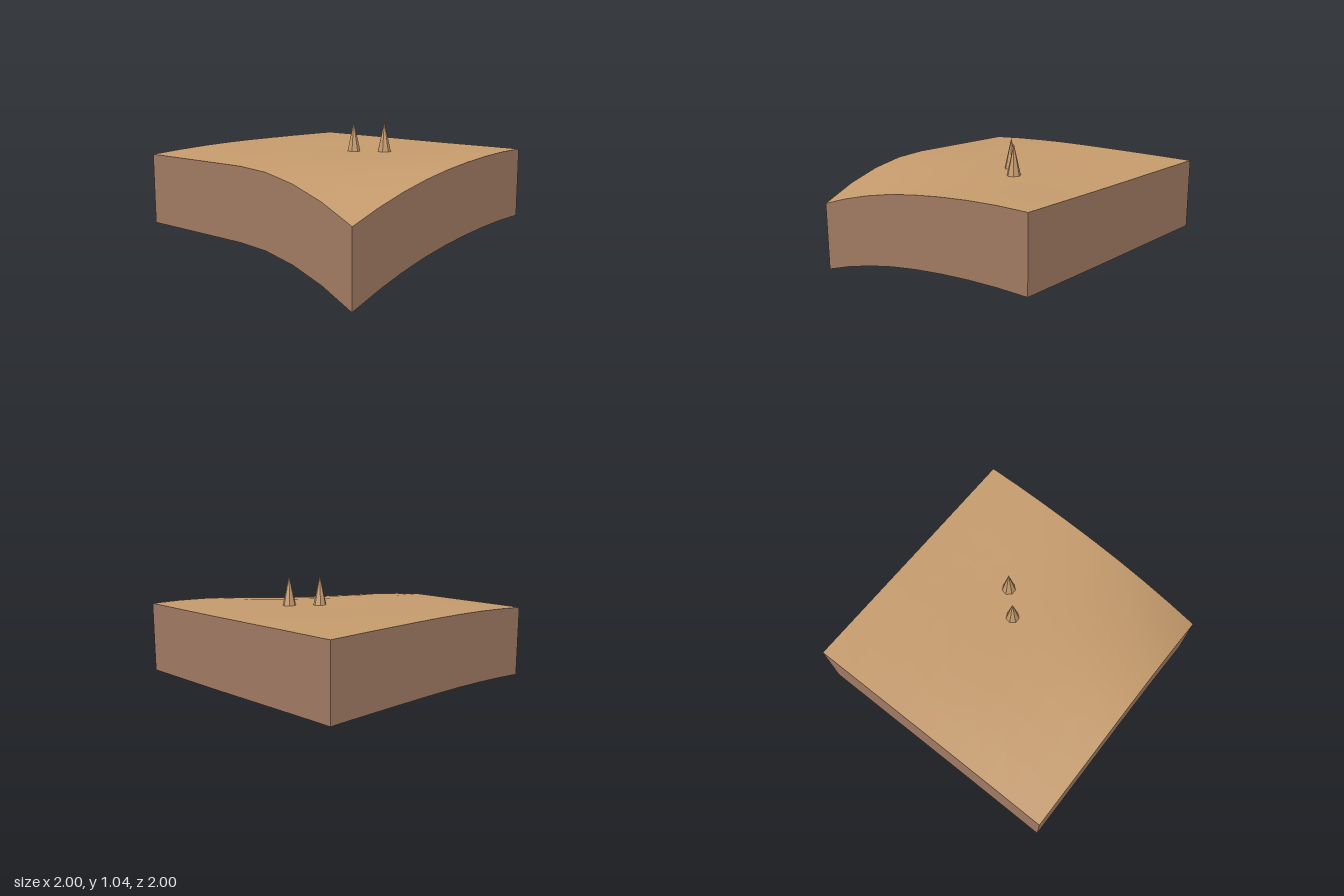
import * as THREE from 'three';

const SEG = 8;

// Rolling ground: gentle crown, shallow hollow at the spikes, slope falling to the +x +z corner
function height(x, z) {
  const crown = 0.83 - (z > 0 ? 0.035 : 0.007) * z * z + 0.003 * (x + 1) * z;
  const hollow = 0.022 * Math.exp(-((x - 0.2) ** 2 + (z + 0.2) ** 2) / 0.3);
  const slope = 0.27 * Math.max(0, x) ** 2 * ((z + 1) / 2) ** 2;
  return crown - hollow - slope;
}
const DEPTH = height(1, 1);

// Smooth top surface
function groundGeometry() {
  const geo = new THREE.PlaneGeometry(2, 2, SEG, SEG).rotateX(-Math.PI / 2);
  const p = geo.attributes.position;
  for (let i = 0; i < p.count; i++) p.setY(i, height(p.getX(i), p.getZ(i)));
  geo.computeVertexNormals();
  return geo;
}

// Vertical skirt following one edge of the ground, from (x0, z0) to (x1, z1)
function wallGeometry(x0, z0, x1, z1) {
  const pos = [], index = [];
  for (let i = 0; i <= SEG; i++) {
    const t = i / SEG, x = x0 + (x1 - x0) * t, z = z0 + (z1 - z0) * t, y = height(x, z);
    pos.push(x, y - DEPTH, z, x, y, z);
    if (i < SEG) {
      const a = i * 2;
      index.push(a, a + 2, a + 1, a + 1, a + 2, a + 3);
    }
  }
  const geo = new THREE.BufferGeometry();
  geo.setAttribute('position', new THREE.Float32BufferAttribute(pos, 3));
  geo.setIndex(index);
  geo.computeVertexNormals();
  return geo;
}

export function createModel() {
  const sand = new THREE.MeshStandardMaterial({ color: 0xc49a6c, side: THREE.DoubleSide });
  sand.name = 'sand';
  const earth = new THREE.MeshStandardMaterial({ color: 0xa07a62, side: THREE.DoubleSide });
  earth.name = 'earth';

  const model = new THREE.Group();
  model.name = 'terrainTile';
  const add = (name, geo, mat) => {
    const mesh = new THREE.Mesh(geo, mat);
    mesh.name = name;
    model.add(mesh);
    return mesh;
  };

  add('ground', groundGeometry(), sand);

  // Open-bottomed skirt walls
  add('frontWall', wallGeometry(-1, 1, 1, 1), earth);
  add('leftWall', wallGeometry(1, 1, 1, -1), earth);
  add('backWall', wallGeometry(1, -1, -1, -1), earth);
  add('rightWall', wallGeometry(-1, -1, -1, 1), earth);

  // Seven-sided faceted spikes
  for (const [name, x, z] of [['frontSpike', 0.083, -0.083], ['backSpike', 0.25, -0.25]]) {
    const geo = new THREE.ConeGeometry(0.053, 0.235, 7).rotateY(Math.PI).toNonIndexed();
    geo.computeVertexNormals();
    add(name, geo, sand).position.set(x, 0.92, z);
  }
  return model;
}
